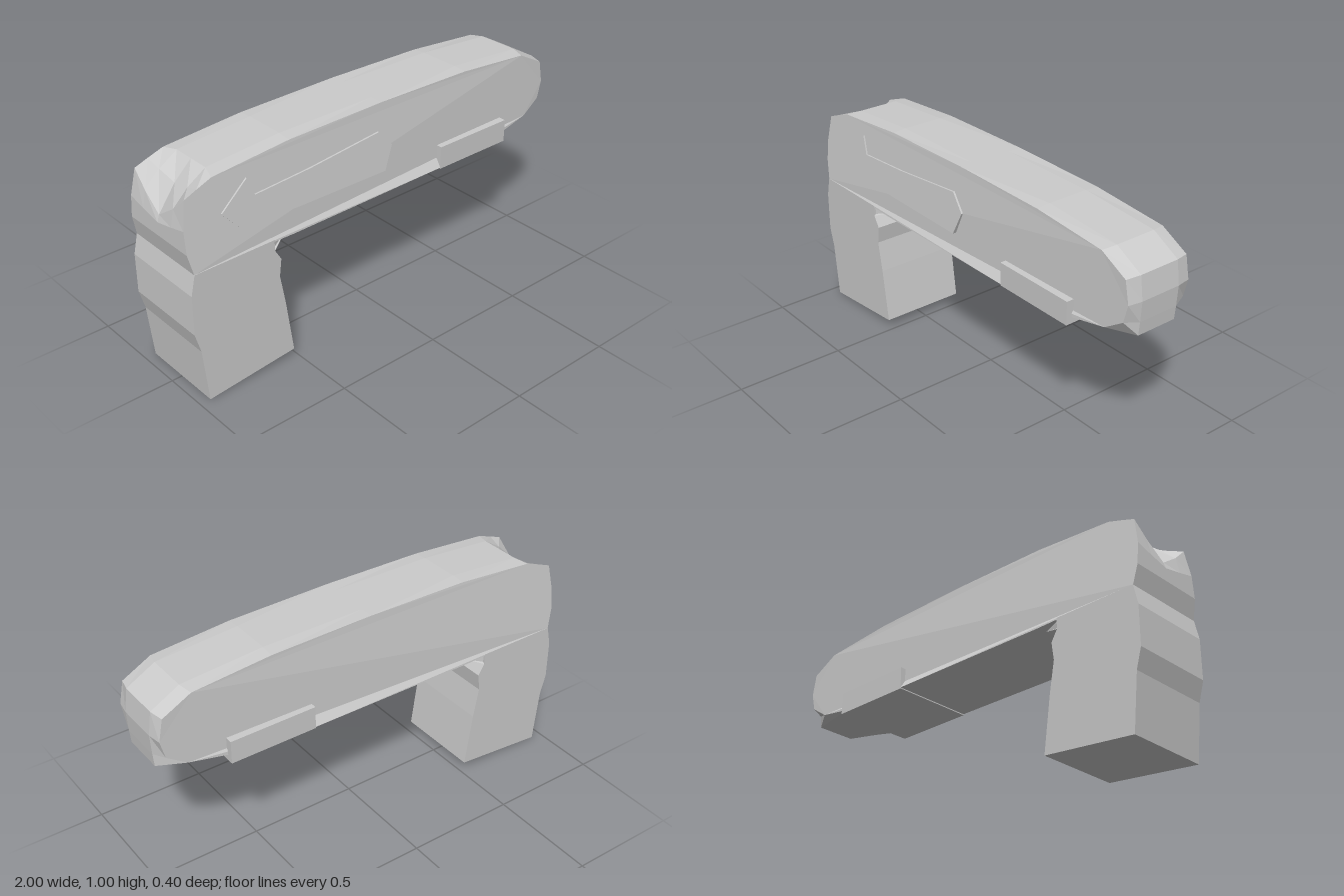
import * as THREE from 'three';

const material = new THREE.MeshStandardMaterial({ color: 0xcccccc, flatShading: true, side: THREE.DoubleSide });

// Half width of the tapering body: wide at the bottom, narrower at the top and the muzzle
function halfWidth(x, y) {
  const flare = THREE.MathUtils.clamp((1 - x) / 0.65, 0, 1);
  return 0.157 + 0.043 * flare * THREE.MathUtils.clamp((1 - y) / 0.4, 0, 1);
}

function addMesh(group, name, geometry) {
  const mesh = new THREE.Mesh(geometry, material);
  mesh.name = name;
  group.add(mesh);
  return mesh;
}

function extrude(points, depth) {
  const shape = new THREE.Shape(points.map(([x, y]) => new THREE.Vector2(x, y)));
  return new THREE.ExtrudeGeometry(shape, { depth, bevelEnabled: false });
}

// Body: a closed outline swept across five columns, then capped on both sides
function bodyGeometry() {
  // Each row: side edge x, y, then centre x, y where the middle differs
  const outline = [
    [-0.98, 0.61], [-0.5, 0.6], [0.31, 0.605], [0.71, 0.628],
    [0.88, 0.66, 0.99, 0.65], [0.97, 0.72, 0.995, 0.71], [0.99, 0.8, 1, 0.8],
    [0.97, 0.9, 0.985, 0.905], [0.84, 0.968, 0.855, 0.976],
    [0.48, 0.997, 0.48, 1.002], [0, 1.004], [-0.48, 0.997, -0.48, 1.002],
    [-0.85, 0.968, -0.83, 0.976], [-0.92, 0.943, -0.91, 0.9],
    [-0.98, 0.92, -0.99, 0.79], [-1, 0.8, -1, 0.76], [-1, 0.7],
  ];
  const rows = outline.map(([sx, sy, cx = sx, cy = sy]) => {
    const w = halfWidth(sx, sy);
    const rear = sx < -0.9; // V-shaped groove at the rear, flat middle elsewhere
    const t = rear ? 0.5 : 1;
    const mx = sx + (cx - sx) * t, my = sy + (cy - sy) * t;
    return [[sx, sy, -w], [mx, my, -0.095], [cx, cy, 0], [mx, my, 0.095], [sx, sy, w]];
  });
  const pos = [];
  const n = rows.length;
  for (let i = 0; i < n; i++) {
    const a = rows[i], b = rows[(i + 1) % n];
    for (let j = 0; j < 4; j++) {
      pos.push(...a[j], ...b[j], ...b[j + 1], ...a[j], ...b[j + 1], ...a[j + 1]);
    }
  }
  const contour = outline.map(([x, y]) => new THREE.Vector2(x, y));
  for (const [a, b, c] of THREE.ShapeUtils.triangulateShape(contour, [])) {
    pos.push(...rows[a][4], ...rows[b][4], ...rows[c][4]);
    pos.push(...rows[a][0], ...rows[c][0], ...rows[b][0]);
  }
  const geometry = new THREE.BufferGeometry();
  geometry.setAttribute('position', new THREE.Float32BufferAttribute(pos, 3));
  geometry.computeVertexNormals();
  return geometry;
}

export function createModel() {
  const model = new THREE.Group();
  model.name = 'handheldDevice';

  addMesh(model, 'body', bodyGeometry());

  // Grip: full-width angled handle
  const grip = extrude([
    [-0.98, 0.61], [-1, 0.52], [-1, 0.34], [-0.975, 0.25], [-0.95, 0], [-0.52, 0.04],
    [-0.555, 0.29], [-0.58, 0.43], [-0.57, 0.51], [-0.6, 0.56], [-0.6, 0.61],
  ], 0.4);
  grip.translate(0, 0, -0.2);
  addMesh(model, 'grip', grip);

  // Bevelled wedge joining the grip to the underside of the body
  const wedge = extrude([[-0.62, 0.56], [-0.6, 0.56], [-0.5, 0.602], [-0.62, 0.602]], 0.4);
  wedge.translate(0, 0, -0.2);
  const w = wedge.attributes.position;
  for (let i = 0; i < w.count; i++) {
    if (w.getX(i) > -0.55) w.setZ(i, Math.sign(w.getZ(i)) * 0.15);
  }
  wedge.computeVertexNormals();
  addMesh(model, 'gripWedge', wedge);

  // Block crossing under the front of the body
  const block = addMesh(model, 'frontBlock', new THREE.BoxGeometry(0.4, 0.105, 0.4));
  block.position.set(0.51, 0.6525, 0);

  // Raised plate on the front face, leaning with the body side
  const plate = extrude([
    [-0.83, 0.81], [-0.76, 0.73], [-0.47, 0.71], [-0.01, 0.705], [0.035, 0.81],
    [-0.03, 0.885], [-0.4, 0.85], [-0.67, 0.835], [-0.7, 0.915],
  ], 0.02);
  const p = plate.attributes.position;
  for (let i = 0; i < p.count; i++) {
    p.setZ(i, halfWidth(p.getX(i), p.getY(i)) - 0.013 + p.getZ(i));
  }
  plate.computeVertexNormals();
  addMesh(model, 'sidePlate', plate);

  return model;
}
